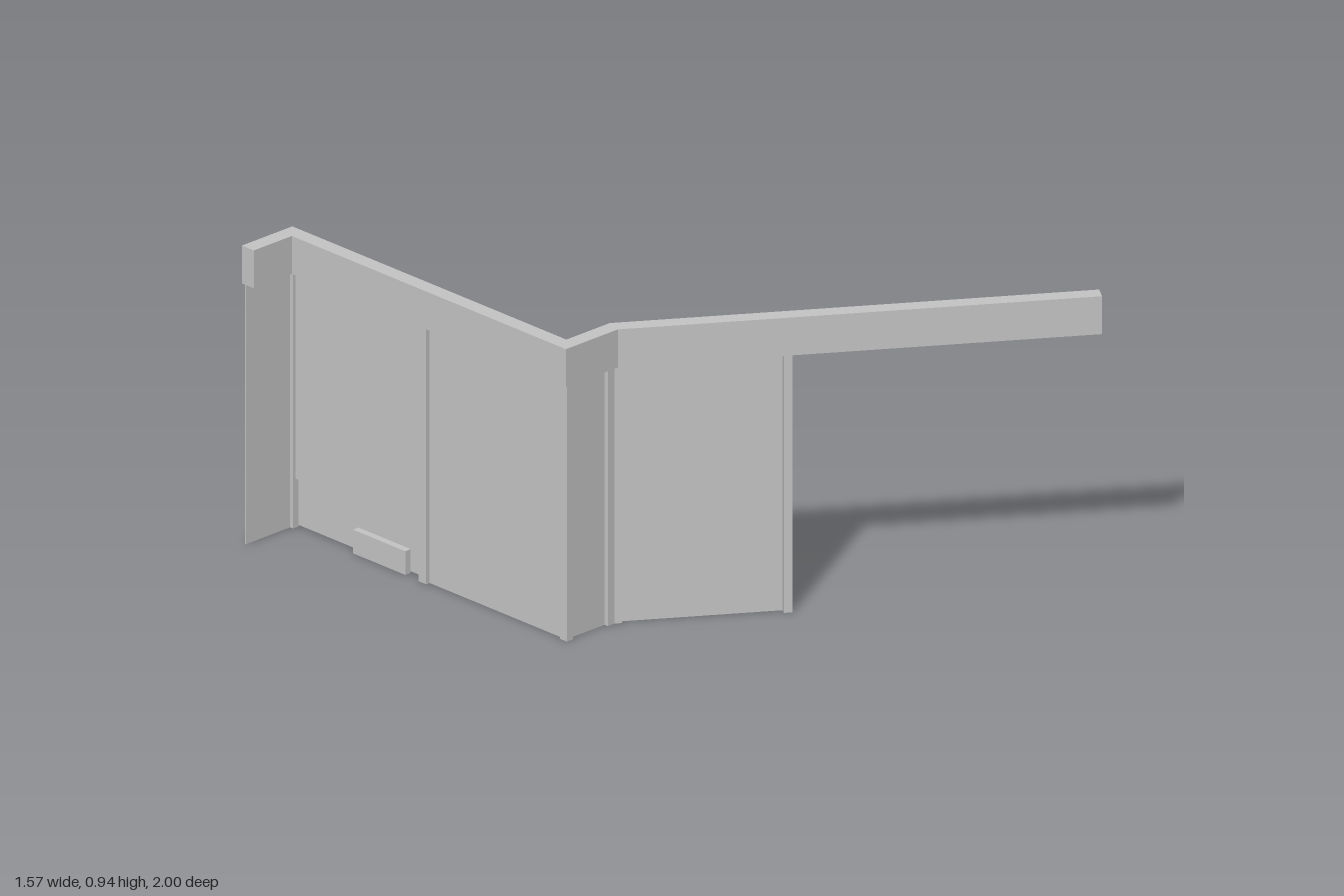
import * as THREE from 'three';

// Plan points of the wall run as [x, z], centre line of the beam
const A = [-0.79, -0.975], R = [-0.612, -0.975], B = [-0.612, 0.175];
const C = [-0.42, 0.175], D = [0.77, 0.978], E = [0.016, 0.469];

const lerp = (p, q, t) => [p[0] + (q[0] - p[0]) * t, p[1] + (q[1] - p[1]) * t];

// Offsets a plan path sideways with mitred corners
function offset(path, d) {
  const normals = path.slice(1).map((q, i) => {
    const dx = q[0] - path[i][0], dz = q[1] - path[i][1], l = Math.hypot(dx, dz);
    return [dz / l, -dx / l];
  });
  return path.map((p, i) => {
    const a = normals[Math.max(i - 1, 0)], b = normals[Math.min(i, normals.length - 1)];
    const k = d / (1 + a[0] * b[0] + a[1] * b[1]);
    return [p[0] + (a[0] + b[0]) * k, p[1] + (a[1] + b[1]) * k];
  });
}

export function createModel() {
  const group = new THREE.Group();
  const grey = new THREE.MeshStandardMaterial({ color: 0xc4c4c4 });
  grey.name = 'light grey';

  // Solid that follows a path between two side offsets and two heights
  function strip(name, path, d0, d1, y0, y1) {
    const outline = [...offset(path, d0), ...offset(path, d1).reverse()];
    const shape = new THREE.Shape(outline.map(([x, z]) => new THREE.Vector2(x, -z)));
    const geo = new THREE.ExtrudeGeometry(shape, { depth: y1 - y0, bevelEnabled: false });
    geo.rotateX(-Math.PI / 2).translate(0, y0, 0);
    const mesh = new THREE.Mesh(geo, grey);
    mesh.name = name;
    group.add(mesh);
  }
  function box(name, x0, x1, y0, y1, z0, z1) {
    const mesh = new THREE.Mesh(new THREE.BoxGeometry(x1 - x0, y1 - y0, z1 - z0), grey);
    mesh.position.set((x0 + x1) / 2, (y0 + y1) / 2, (z0 + z1) / 2);
    mesh.name = name;
    group.add(mesh);
  }

  // Channel beam, open on one side, with closed ends
  const run = [A, R, B, C, D], low = 0.82, high = 0.94, t = 0.003;
  strip('beamTopFlange', run, -0.025, 0.025, high - t, high);
  strip('beamBottomFlange', run, -0.025, 0.025, low, low + t);
  strip('beamWeb', run, -0.025, -0.025 + t, low + t, high - t);
  strip('beamEndCap', [A, lerp(A, R, 0.017)], -0.022, 0.025, low + t, high - t);
  strip('beamEndCap', [lerp(D, C, 0.002), D], -0.022, 0.025, low + t, high - t);

  // Thin wall panels
  const mid = [B[0], -0.425];
  strip('rearPanel', [A, R], 0.008, 0.013, 0, low);
  strip('panelAboveUnit', [[B[0], -0.98], mid], 0.01, 0.014, 0.155, low);
  strip('longPanel', [mid, B, C, E], 0.01, 0.014, 0, low);

  // Posts, including one bent around the obtuse corner
  strip('rearCornerPost', [[-0.612, -0.975], [-0.587, -0.975]], -0.004, 0.025, 0, low);
  strip('middlePost', [[B[0], -0.44], [B[0], -0.408]], -0.004, 0.026, 0, low);
  strip('frontCornerPost', [[-0.612, 0.175], [-0.587, 0.175]], -0.003, 0.025, 0, low);
  strip('bentPost', [[-0.447, 0.175], C, lerp(C, D, 0.016)], -0.003, 0.025, 0, low);
  strip('endPost', [lerp(E, C, 0.05), E], -0.01, 0.025, 0, low);

  // Low unit against the wall, with a rear step and thin slats
  box('lowUnit', -0.59, -0.53, 0.005, 0.155, -0.972, -0.445);
  box('unitStep', -0.612, -0.59, 0, 0.075, -0.72, -0.5);
  for (const y of [0.07, 0.11]) box('unitSlat', -0.53, -0.527, y, y + 0.005, -0.96, -0.8);

  return group;
}
